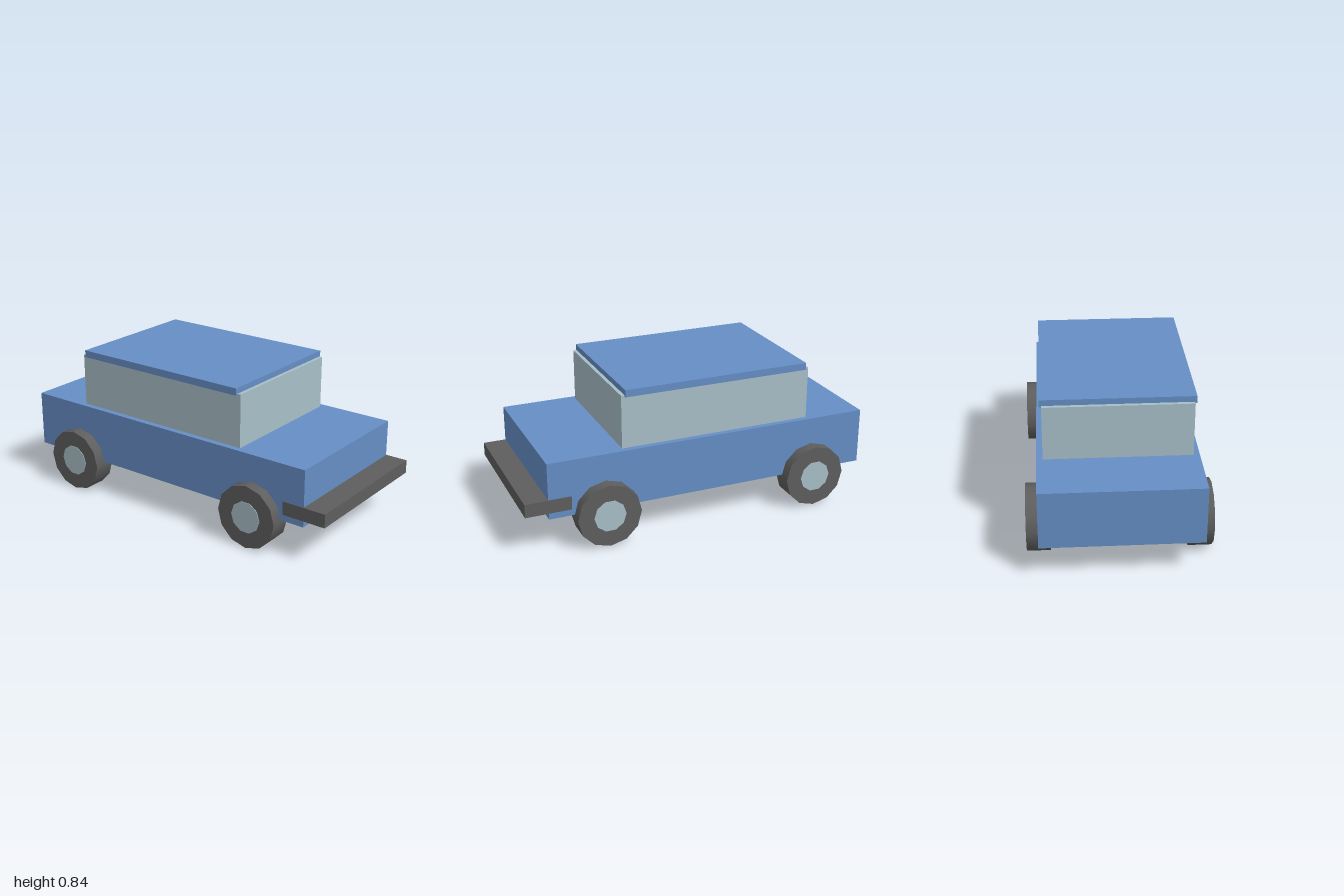
import * as THREE from 'three';

const material = (name, color) => {
  const m = new THREE.MeshStandardMaterial({ color });
  m.name = name;
  return m;
};

export function createModel() {
  const model = new THREE.Group();
  model.name = 'car';
  const blue = material('blue paint', 0x658ec5);
  const pale = material('pale glass', 0xa8bfc8);
  const grey = material('dark grey', 0x5e5e5e);

  // Box given by half width and its y and z ranges
  const block = (name, mat, halfWidth, y0, y1, z0, z1) => {
    const mesh = new THREE.Mesh(new THREE.BoxGeometry(halfWidth * 2, y1 - y0, z1 - z0), mat);
    mesh.position.set(0, (y0 + y1) / 2, (z0 + z1) / 2);
    mesh.name = name;
    model.add(mesh);
  };
  block('body', blue, 0.425, 0.192, 0.51, -1, 0.872);
  block('cabin', pale, 0.392, 0.5, 0.808, -0.66, 0.447);
  block('roof', blue, 0.403, 0.8, 0.84, -0.639, 0.427);
  block('frontBumper', grey, 0.428, 0.228, 0.304, 0.745, 1);

  // Wheels: twelve-sided tyre with a hub cap showing on both faces
  const tyreGeometry = new THREE.CylinderGeometry(0.179, 0.179, 0.127, 12).rotateZ(Math.PI / 2);
  const hubGeometry = new THREE.CylinderGeometry(0.09, 0.09, 0.134, 10).rotateZ(Math.PI / 2);
  for (const [end, z] of [['front', 0.555], ['rear', -0.682]]) {
    for (const [side, x] of [['Left', 0.425], ['Right', -0.425]]) {
      const wheel = new THREE.Group();
      wheel.name = `${end}${side}Wheel`;
      const tyre = new THREE.Mesh(tyreGeometry, grey);
      tyre.name = 'tyre';
      const hub = new THREE.Mesh(hubGeometry, pale);
      hub.name = 'hub';
      wheel.add(tyre, hub);
      wheel.position.set(x, 0.179, z);
      model.add(wheel);
    }
  }
  return model;
}
